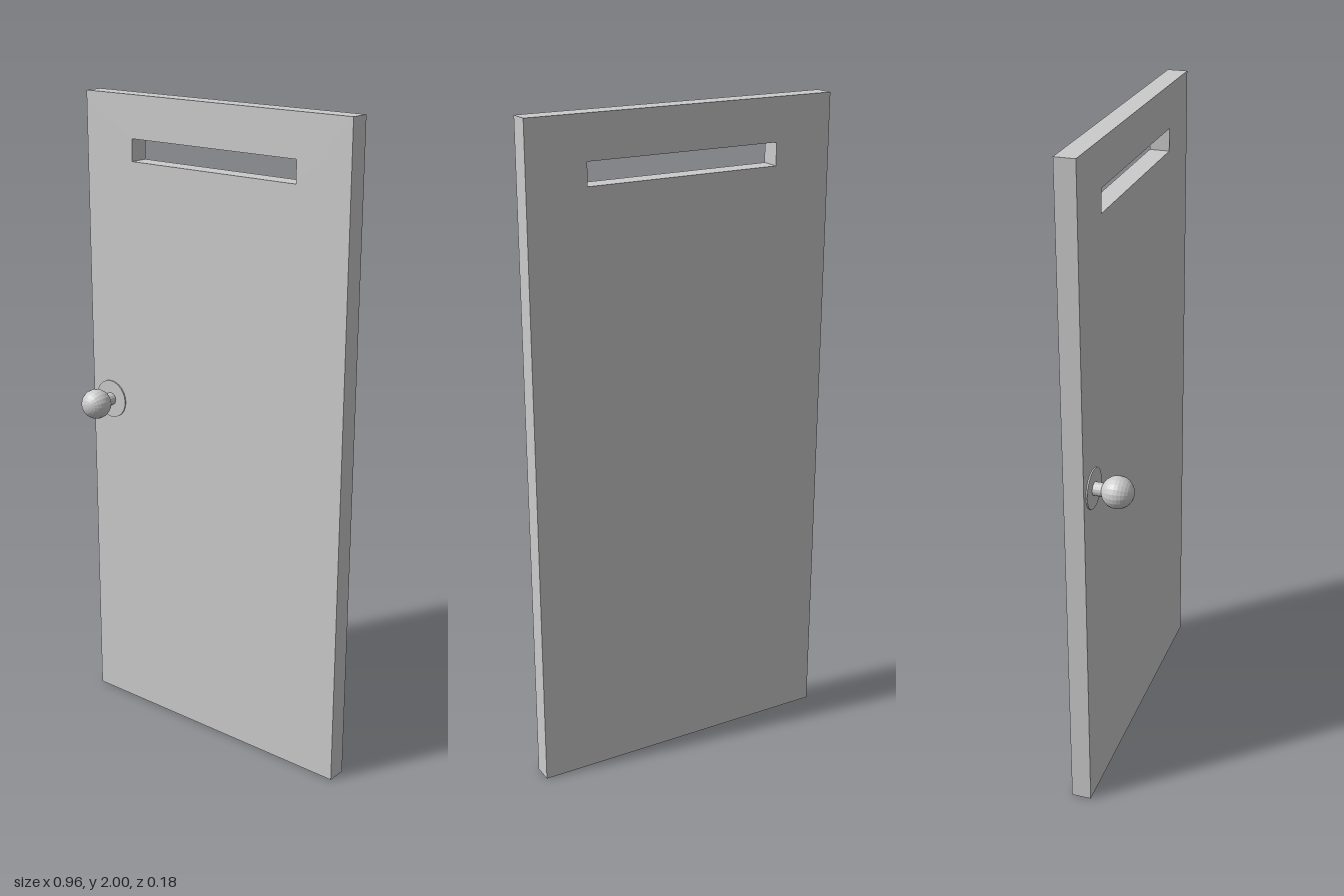
import * as THREE from 'three';

const material = new THREE.MeshStandardMaterial({ color: 0xcccccc, flatShading: true });

function addPart(parent, name, geometry, x = 0, y = 0, z = 0) {
  const mesh = new THREE.Mesh(geometry, material);
  mesh.name = name;
  mesh.position.set(x, y, z);
  parent.add(mesh);
  return mesh;
}

// Rectangle outline from its left, right, bottom and top edges
function rectangle(PathType, left, right, bottom, top) {
  return new PathType([
    new THREE.Vector2(left, bottom),
    new THREE.Vector2(right, bottom),
    new THREE.Vector2(right, top),
    new THREE.Vector2(left, top),
  ]).closePath();
}

export function createModel() {
  const door = new THREE.Group();
  door.name = 'door';

  // Slab with a slot cut right through near the top
  const outline = rectangle(THREE.Shape, -0.48, 0.48, 0, 2);
  outline.holes.push(rectangle(THREE.Path, -0.3, 0.3, 1.805, 1.872));
  const slab = new THREE.ExtrudeGeometry(outline, { depth: 0.06, bevelEnabled: false });
  addPart(door, 'doorSlab', slab, 0, 0, -0.09);

  // Door knob: plate, neck and ball along the z axis
  const knob = new THREE.Group();
  knob.name = 'doorKnob';
  knob.position.set(-0.404, 1.045, -0.03);
  door.add(knob);

  const plate = new THREE.CylinderGeometry(0.06, 0.06, 0.004, 24).rotateX(Math.PI / 2);
  addPart(knob, 'knobPlate', plate, 0, 0, 0.002);
  const neck = new THREE.CylinderGeometry(0.02, 0.02, 0.04, 16).rotateX(Math.PI / 2);
  addPart(knob, 'knobNeck', neck, 0, 0, 0.02);
  const ball = new THREE.SphereGeometry(0.047, 20, 14).rotateX(Math.PI / 2);
  addPart(knob, 'knobBall', ball, 0, 0, 0.072);

  return door;
}
